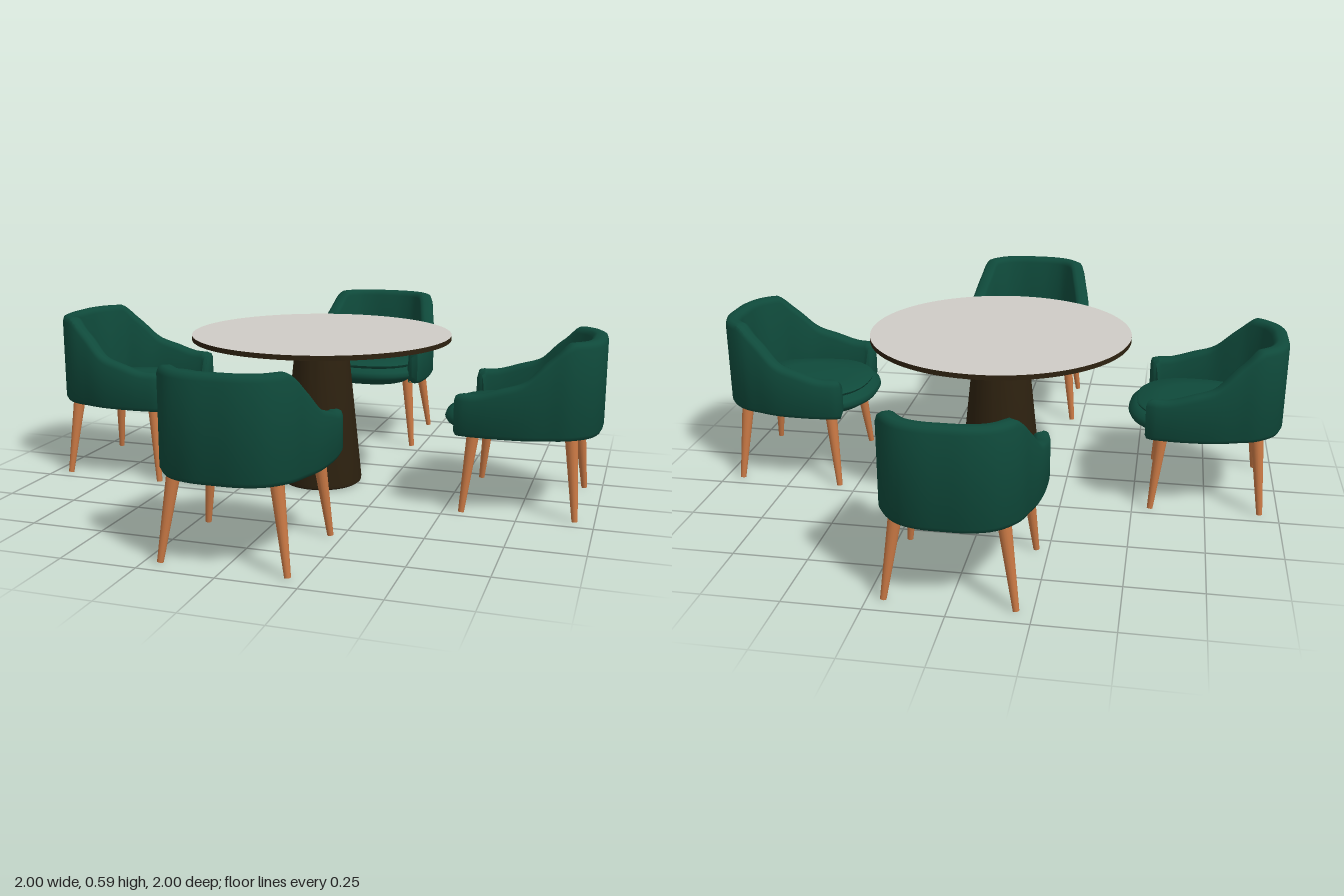
import * as THREE from 'three';
import { toCreasedNormals } from 'three/addons/utils/BufferGeometryUtils.js';

const mat = (name, color, side = THREE.FrontSide) => {
  const m = new THREE.MeshStandardMaterial({ color, side });
  m.name = name;
  return m;
};

function mesh(name, geometry, material) {
  const m = new THREE.Mesh(geometry, material);
  m.name = name;
  return m;
}

// Lathe of unit radius stretched to a rounded-square plan
function pad(profile, rx, rz, cz, n = 2.4) {
  const g = new THREE.LatheGeometry(profile.map(([r, y]) => new THREE.Vector2(r, y)), 48);
  const p = g.attributes.position;
  for (let i = 0; i < p.count; i++) {
    const x = p.getX(i), z = p.getZ(i), r = Math.hypot(x, z);
    const k = r < 1e-6 ? 0 : Math.pow(Math.abs(x / r) ** n + Math.abs(z / r) ** n, -1 / n);
    p.setX(i, x * k * rx);
    p.setZ(i, z * k * rz + cz);
  }
  return toCreasedNormals(g, 0.9);
}

// Wrap-around back and arms: a wall section swept along a U, with varying height
function shellGeometry() {
  // outer plan x, z and rim height, from the arm tip to the middle of the back
  const half = [
    [0.218, 0.522, 0.408], [0.242, 0.54, 0.41], [0.254, 0.605, 0.412], [0.256, 0.685, 0.435],
    [0.25, 0.765, 0.462], [0.23, 0.84, 0.53], [0.205, 0.91, 0.588], [0.15, 0.97, 0.59], [0.08, 0.996, 0.59],
  ];
  const points = [...half, [0, 1, 0.59], ...half.slice().reverse().map(([x, z, h]) => [-x, z, h])];
  const curve = new THREE.CatmullRomCurve3(points.map(([x, z, h]) => new THREE.Vector3(x, h, z)));
  const N = 72, pos = [], index = [];
  let M = 0;
  for (let i = 0; i <= N; i++) {
    const c = curve.getPointAt(i / N), t = curve.getTangentAt(i / N);
    const h = Math.min(c.y, 0.59), len = Math.hypot(t.x, t.z);
    const nx = -t.z / len, nz = t.x / len;
    const shrink = i === 0 || i === N ? 0.012 : 0;
    // inward offset and height around the wall section
    const section = [
      [0.025, 0.266], [0.007, 0.271], [0, 0.285], [0, h - 0.02], [0.005, h - 0.005], [0.016, h],
      [0.038, h], [0.05, h - 0.006], [0.055, h - 0.02], [0.064, 0.31], [0.06, 0.266],
    ];
    M = section.length;
    for (const [d0, y0] of section) {
      const d = d0 + Math.sign(0.03 - d0) * shrink;
      const y = y0 + Math.sign(0.34 - y0) * shrink;
      pos.push(c.x + nx * d, y, c.z + nz * d);
    }
  }
  for (let i = 0; i < N; i++) {
    for (let j = 0; j < M; j++) {
      const a = i * M + j, b = i * M + (j + 1) % M;
      index.push(a, b, a + M, b, b + M, a + M);
    }
  }
  // arm tip caps
  for (let j = 1; j < M - 1; j++) {
    index.push(0, j + 1, j, N * M, N * M + j, N * M + j + 1);
  }
  const g = new THREE.BufferGeometry();
  g.setAttribute('position', new THREE.Float32BufferAttribute(pos, 3));
  g.setIndex(index);
  return toCreasedNormals(g, 0.9);
}

// Tapered leg between two points
function leg(name, top, foot, material) {
  const a = new THREE.Vector3(...top), b = new THREE.Vector3(...foot);
  const dir = a.clone().sub(b);
  const m = mesh(name, new THREE.CylinderGeometry(0.022, 0.01, dir.length(), 16), material);
  m.position.copy(a).add(b).multiplyScalar(0.5);
  m.quaternion.setFromUnitVectors(new THREE.Vector3(0, 1, 0), dir.normalize());
  return m;
}

export function createModel() {
  const green = mat('greenFabric', 0x0f4a3b, THREE.DoubleSide);
  const copper = mat('copperWood', 0xc87844);
  const dark = mat('darkBronze', 0x2e2210);
  const stone = mat('paleStone', 0xcfccc6);
  const model = new THREE.Group();
  model.name = 'diningSet';

  // Table
  const table = new THREE.Group();
  table.name = 'table';
  const top = mesh('tableTop', new THREE.CylinderGeometry(0.465, 0.465, 0.017, 96), [dark, stone, dark]);
  top.position.y = 0.5435;
  const column = [[0, 0], [0.137, 0], [0.145, 0.006], [0.147, 0.018], [0.093, 0.536]];
  table.add(top, mesh('pedestal', toCreasedNormals(
    new THREE.LatheGeometry(column.map(([r, y]) => new THREE.Vector2(r, y)), 64), 0.7), dark));
  model.add(table);

  // Chair parts shared by the four places
  const shell = shellGeometry();
  const base = pad([[0, 0.24], [0.4, 0.242], [0.65, 0.25], [0.86, 0.267], [0.97, 0.284], [1, 0.297],
    [0.98, 0.312], [0.9, 0.325], [0, 0.328]], 0.235, 0.245, 0.711);
  const cushion = pad([[0, 0.322], [0.94, 0.324], [0.99, 0.331], [1, 0.337], [0.97, 0.342],
    [0.6, 0.347], [0, 0.349]], 0.208, 0.218, 0.711);

  for (let i = 0; i < 4; i++) {
    const chair = new THREE.Group();
    chair.name = 'chair' + (i + 1);
    chair.add(mesh('backAndArms', shell, green), mesh('seatBase', base, green), mesh('seatCushion', cushion, green));
    for (const s of [1, -1]) {
      const side = s > 0 ? 'Left' : 'Right';
      chair.add(leg('frontLeg' + side, [s * 0.178, 0.29, 0.592], [s * 0.21, 0, 0.562], copper));
      chair.add(leg('backLeg' + side, [s * 0.158, 0.29, 0.908], [s * 0.2, 0, 0.937], copper));
    }
    chair.rotation.y = i * Math.PI / 2;
    model.add(chair);
  }
  return model;
}
